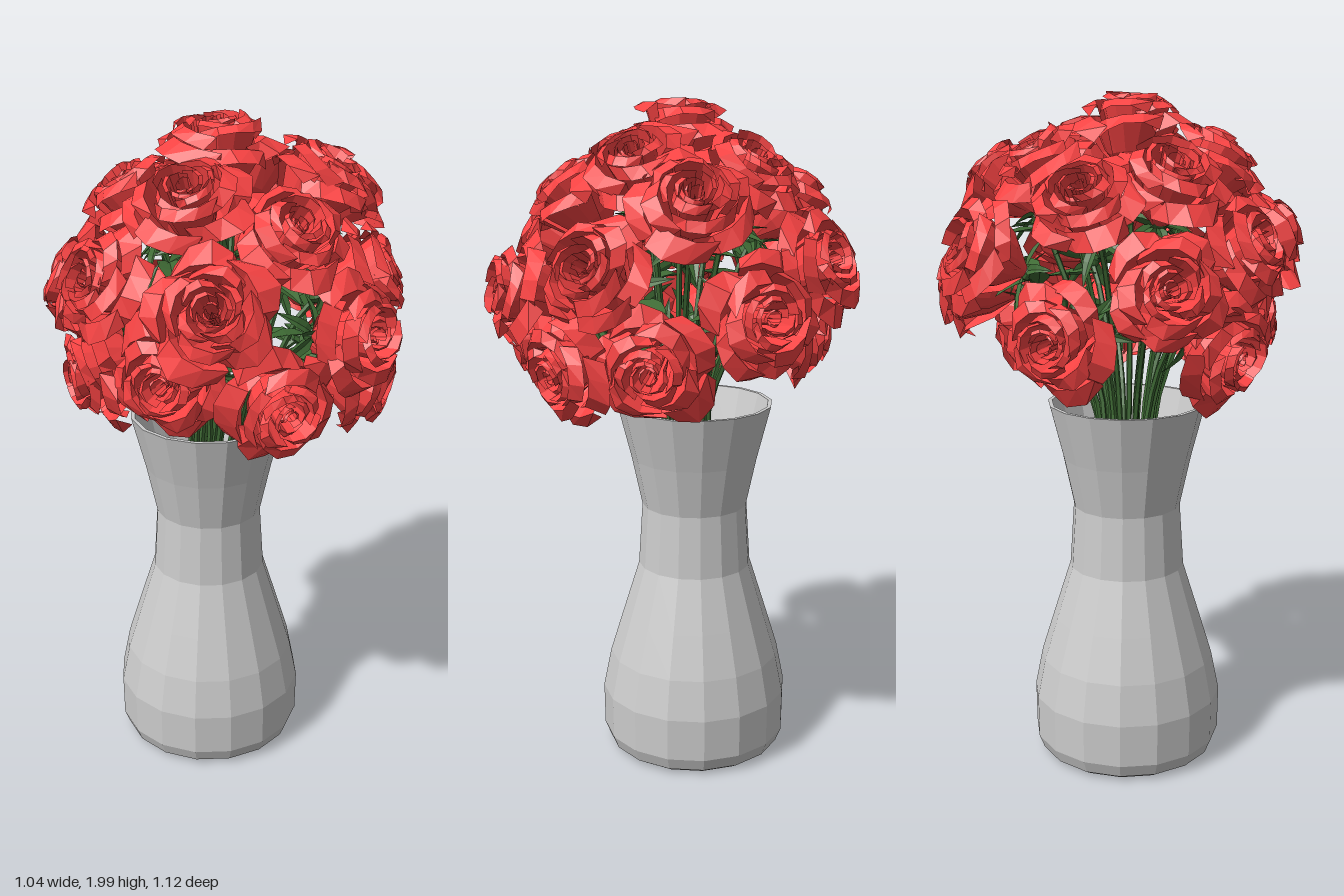
import * as THREE from 'three';
import { mergeGeometries } from 'three/addons/utils/BufferGeometryUtils.js';

const vaseMat = new THREE.MeshStandardMaterial({ color: 0xcccccc, flatShading: true, side: THREE.DoubleSide });
const petalMat = new THREE.MeshStandardMaterial({ color: 0xf84343, flatShading: true, side: THREE.DoubleSide });
const greenMat = new THREE.MeshStandardMaterial({ color: 0x3f6b35, flatShading: true, side: THREE.DoubleSide });

const VASE_X = -0.045, VASE_Z = -0.02;

// Face centre of each bloom
const BLOOMS = [
  [-0.01, 1.965, 0.01], [0.01, 1.84, -0.28], [0.29, 1.86, -0.07], [0.24, 1.76, 0.25],
  [-0.06, 1.85, 0.26], [-0.28, 1.81, 0.04], [-0.27, 1.75, -0.23], [0.33, 1.77, -0.32],
  [-0.33, 1.6, 0.28], [-0.04, 1.58, -0.505], [0.21, 1.45, -0.485], [-0.48, 1.5, -0.04],
  [0.045, 1.6, 0.5], [0.465, 1.57, -0.05], [0.45, 1.48, 0.28], [-0.11, 1.35, 0.4],
  [0.235, 1.28, 0.39], [0.475, 1.26, 0.07], [-0.38, 1.28, 0.2], [0.4, 1.29, -0.22],
  [-0.26, 1.33, -0.32],
];

let seed = 7;
function rand(lo, hi) {
  seed = (seed * 16807) % 2147483647;
  return lo + (hi - lo) * (seed / 2147483647);
}

// Surface patch from a rule fn(u in -1..1, v in 0..1) -> [x, y, z]
function patch(nu, nv, fn) {
  const pos = [], index = [];
  for (let j = 0; j <= nv; j++) {
    for (let i = 0; i <= nu; i++) {
      pos.push(...fn(-1 + (2 * i) / nu, j / nv));
      if (i < nu && j < nv) {
        const a = j * (nu + 1) + i, b = a + nu + 1;
        index.push(a, a + 1, b, a + 1, b + 1, b);
      }
    }
  }
  const g = new THREE.BufferGeometry();
  g.setAttribute('position', new THREE.Float32BufferAttribute(pos, 3));
  g.setIndex(index);
  const flat = g.toNonIndexed();
  flat.computeVertexNormals();
  return flat;
}

// Cupped petal: swells from the calyx to its rim, then rolls out to a pointed lip
function petal(angle, half, rim, top, roll) {
  const base = -0.21, tilt = rand(-0.015, 0.015), tip = rand(-0.3, 0.3);
  return patch(4, 3, (u, v) => {
    const cup = Math.min(v * 1.5, 1), lip = Math.max(v * 3 - 2, 0);
    const a = angle + half * (u * (0.7 + 0.3 * cup - 0.25 * lip) + 0.3 * tip * lip);
    const edge = Math.pow(Math.abs(u - tip * (1 - u * u)), 1.5);
    const r = 0.012 + (rim - 0.012) * Math.pow(cup, 0.75) + roll * lip * (1.1 - 0.75 * edge)
      + u * rim * 0.13 * cup;
    const y = base + (top - base) * Math.pow(cup, 1.25)
      - lip * roll * 0.45 - edge * v * v * (0.008 + rim * 0.2) + u * tilt * cup;
    return [Math.sin(a) * r, y, Math.cos(a) * r];
  });
}

// Rings of petals: count, half angle, rim radius, rim height, outward roll
const RINGS = [
  [3, 1.25, 0.02, 0.008, 0.006],
  [3, 1.3, 0.042, 0.016, 0.012],
  [4, 1.05, 0.068, 0.022, 0.02],
  [4, 1.05, 0.098, 0.008, 0.034],
  [5, 0.88, 0.126, -0.035, 0.05],
];

function bloomGeometry() {
  // Closed bud at the heart
  const bud = new THREE.ConeGeometry(0.018, 0.2, 5).toNonIndexed().translate(0, -0.105, 0);
  bud.deleteAttribute('uv');
  const petals = [bud];
  const turn = rand(0, 6.28);
  RINGS.forEach(([n, half, rim, top, roll], k) => {
    for (let i = 0; i < n; i++) {
      const a = turn + k * 0.75 + ((i + rand(-0.1, 0.1)) / n) * Math.PI * 2;
      petals.push(petal(a, half, rim * rand(0.93, 1.07), top + rand(-0.01, 0.01), roll * rand(0.8, 1.25)));
    }
  });
  return mergeGeometries(petals);
}

// Pointed, folded leaf growing along +z and drooping
function blade(length, width, droop) {
  return patch(2, 4, (u, v) => {
    const w = width * Math.sin(Math.PI * Math.pow(v * 0.97 + 0.03, 0.7));
    return [u * w, Math.abs(u) * w * 0.35 - droop * v * v, v * length];
  });
}

// Green swelling under the bloom with five sepals
function calyxGeometry() {
  const swelling = new THREE.SphereGeometry(0.026, 7, 5).toNonIndexed().translate(0, -0.215, 0);
  swelling.deleteAttribute('uv');
  const parts = [swelling];
  for (let i = 0; i < 5; i++) {
    parts.push(blade(rand(0.1, 0.14), 0.017, rand(0, 0.07))
      .translate(0, -0.205, 0.012)
      .rotateY((i / 5) * Math.PI * 2 + rand(-0.2, 0.2)));
  }
  return mergeGeometries(parts);
}

function part(name, geometry, material) {
  const mesh = new THREE.Mesh(geometry, material);
  mesh.name = name;
  return mesh;
}

function rose([x, y, z]) {
  const group = new THREE.Group();
  group.name = 'rose';
  const face = new THREE.Vector3(x, y, z);
  const out = new THREE.Vector3(x, y - 1.36, z).normalize();

  // Head, turned to face away from the middle of the bouquet
  const head = new THREE.Group();
  head.name = 'roseHead';
  head.add(part('petals', bloomGeometry(), petalMat), part('calyx', calyxGeometry(), greenMat));
  head.position.copy(face);
  head.quaternion.setFromUnitVectors(new THREE.Vector3(0, 1, 0), out);
  group.add(head);

  // Stem bending from the head down through the neck of the vase
  const neck = face.clone().addScaledVector(out, -0.21);
  const path = new THREE.CatmullRomCurve3([
    neck,
    neck.clone().addScaledVector(out, -0.05).add(new THREE.Vector3(0, -0.03, 0)),
    new THREE.Vector3(x * 0.2, 1.1, z * 0.2),
    new THREE.Vector3(VASE_X + x * 0.14, 0.8, VASE_Z + z * 0.14),
    new THREE.Vector3(VASE_X - x * 0.2, 0.12, VASE_Z - z * 0.2),
  ]);
  group.add(part('stem', new THREE.TubeGeometry(path, 16, 0.009, 5), greenMat));

  // Leaves along the upper stem
  for (let i = 0; i < 3; i++) {
    const leaf = part('leaf', blade(rand(0.12, 0.17), rand(0.028, 0.042), rand(0, 0.06)), greenMat);
    leaf.position.copy(path.getPoint(0.05 + i * 0.08));
    leaf.rotation.set(rand(-0.6, 0.1), Math.atan2(x, z) + (i - 1) * 1.5 + rand(-0.4, 0.4), 0, 'YXZ');
    group.add(leaf);
  }
  return group;
}

function vase() {
  const profile = [
    [0, 0.005], [0.245, 0.005], [0.268, 0.02], [0.284, 0.06], [0.286, 0.19], [0.262, 0.31],
    [0.222, 0.44], [0.172, 0.6], [0.16, 0.79], [0.192, 0.94], [0.234, 1.105],
    [0.222, 1.105], [0.18, 0.94], [0.148, 0.79], [0.16, 0.6], [0.21, 0.44], [0.25, 0.31], [0.27, 0.19], [0.25, 0.04], [0, 0.04],
  ].map(([r, y]) => new THREE.Vector2(r, y));
  const mesh = part('vase', new THREE.LatheGeometry(profile, 16), vaseMat);
  mesh.position.set(VASE_X, 0, VASE_Z);
  return mesh;
}

export function createModel() {
  seed = 7;
  const model = new THREE.Group();
  model.name = 'vaseOfRoses';
  model.add(vase());
  const bouquet = new THREE.Group();
  bouquet.name = 'bouquet';
  BLOOMS.forEach((b) => bouquet.add(rose(b)));
  model.add(bouquet);
  return model;
}
